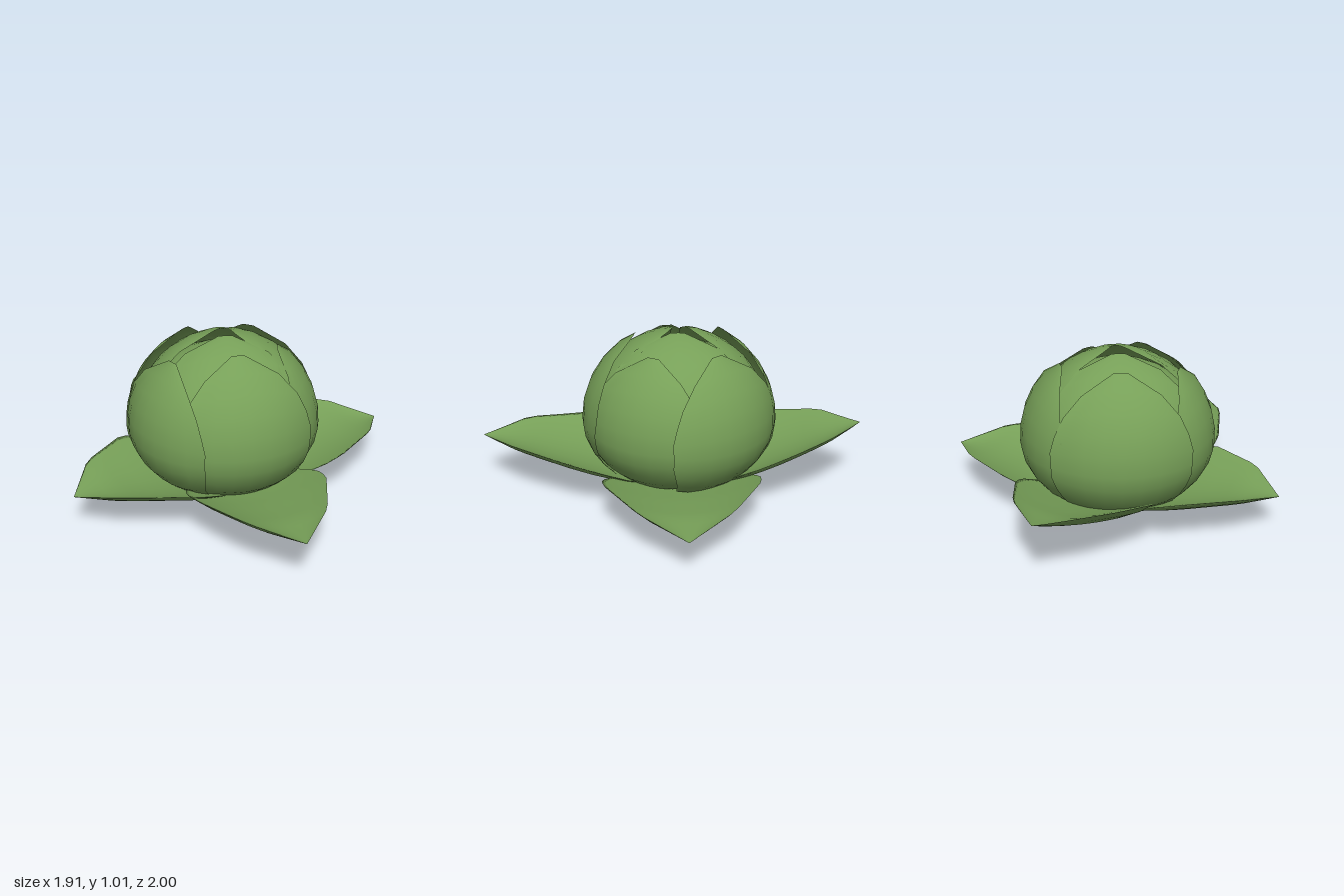
import * as THREE from 'three';

const CX = -0.04, CY = 0.47; // centre of the head

// Smooth sheet from a function of u (-1..1 across) and v (0..1 along)
function sheet(nu, nv, fn) {
  const pos = [], idx = [];
  for (let j = 0; j <= nv; j++)
    for (let i = 0; i <= nu; i++) pos.push(...fn(i / nu * 2 - 1, j / nv));
  for (let j = 0; j < nv; j++)
    for (let i = 0; i < nu; i++) {
      const a = j * (nu + 1) + i, b = a + 1, c = a + nu + 1, d = c + 1;
      idx.push(a, b, d, a, d, c);
    }
  const g = new THREE.BufferGeometry();
  g.setAttribute('position', new THREE.Float32BufferAttribute(pos, 3));
  g.setIndex(idx);
  g.computeVertexNormals();
  return g;
}

// Linear lookup in a list of [key, value, value...] rows
function lookup(rows, k) {
  let i = 0;
  while (i < rows.length - 2 && k > rows[i + 1][0]) i++;
  const a = rows[i], b = rows[i + 1];
  const f = THREE.MathUtils.clamp((k - a[0]) / (b[0] - a[0]), 0, 1);
  return a.map((x, n) => x + (b[n] - x) * f);
}

// Head petal: a pointed patch wrapped over the ball
const petalWidth = [[0, 0.5], [0.3, 0.7], [0.6, 0.72], [0.84, 0.5], [1, 0.06]];
function petal({ az, from, to, width, r, lift }) {
  const A = THREE.MathUtils.degToRad(az);
  return sheet(8, 9, (u, v) => {
    const th = THREE.MathUtils.degToRad(from + (to - from) * v);
    const a = u * lookup(petalWidth, v)[1] * width;
    const out = Math.sin(th) * Math.cos(a), side = Math.sin(a), up = Math.cos(th) * Math.cos(a);
    const k = r + lift * v * v * v;
    const x = out * Math.sin(A) + side * Math.cos(A);
    const z = out * Math.cos(A) - side * Math.sin(A);
    return [CX + 0.565 * k * x, CY + (up > 0 ? 0.55 : 0.42) * k * up, 0.565 * k * z];
  });
}

// Outer leaf rows: distance along, half width, midrib height, edge height
const leafRows = [
  [0.04, 0.14, 0.05, 0.07], [0.22, 0.35, 0.085, 0.19], [0.38, 0.41, 0.115, 0.26],
  [0.5, 0.4, 0.14, 0.29], [0.8, 0.235, 0.19, 0.285], [1, 0.0, 0.225, 0.225]
];
// Thick cupped leaf; each cross-section is a closed loop, underside first
function leaf({ tip, tilt, width }) {
  const dx = tip[0] - CX, dz = tip[1], len = Math.hypot(dx, dz);
  return sheet(20, 16, (u, v) => {
    const s = 0.04 + 0.96 * v;
    const [, w, mid, edge] = lookup(leafRows, s);
    const across = Math.cos((u + 1) * Math.PI), top = u > 0 ? 1 : 0;
    const cup = Math.pow(Math.abs(across), top ? 2 : 2.6);
    const y = mid + (edge - mid) * cup + tilt * s * s
      + top * 0.045 * (1 - across * across) * Math.min(1, (1 - s) * 4);
    const p = across * w * width / len;
    return [CX + dx * s + p * dz, y, dz * s - p * dx];
  });
}

export function createModel() {
  const model = new THREE.Group();
  const green = new THREE.MeshStandardMaterial({ color: 0x77a058, side: THREE.DoubleSide });
  green.name = 'leaf green';
  const add = (name, geometry) => {
    const m = new THREE.Mesh(geometry, green);
    m.name = name;
    model.add(m);
    return m;
  };

  // Core ball under the petals
  const core = add('core', new THREE.SphereGeometry(0.51, 24, 16));
  core.position.set(CX, 0.51, 0);
  core.scale.y = 0.84;

  // Blunt cone below the head
  const base = [[0.001, 0.005], [0.2, 0.05], [0.27, 0.1], [0.28, 0.2]];
  add('base', new THREE.LatheGeometry(base.map(p => new THREE.Vector2(...p)), 10)).position.x = CX;

  // Three inner petals meeting at the top
  [[-50, 4], [62, 5], [180, 8]].forEach(([az, to], i) => add('innerPetal' + (i + 1),
    petal({ az, from: 95, to, width: 1.2, r: 0.965, lift: 0.03 })));

  // Five outer petals around the head
  [[-38, 26, 1.01], [34, 32, 0.985], [102, 35, 1.035], [180, 30, 1.045], [-108, 38, 1.03]]
    .forEach(([az, to, r], i) => add('outerPetal' + (i + 1),
      petal({ az, from: 140, to, width: 1.05, r, lift: 0.02 })));

  // Four spreading leaves at the bottom
  [
    { tip: [0.46, -1], tilt: 0.18, width: 1 }, { tip: [0.95, 0.48], tilt: 0, width: 1.12 },
    { tip: [-0.7, 1], tilt: 0.08, width: 0.98 }, { tip: [-0.96, -0.39], tilt: 0, width: 1.08 }
  ].forEach((o, i) => add('outerLeaf' + (i + 1), leaf(o)));

  return model;
}
